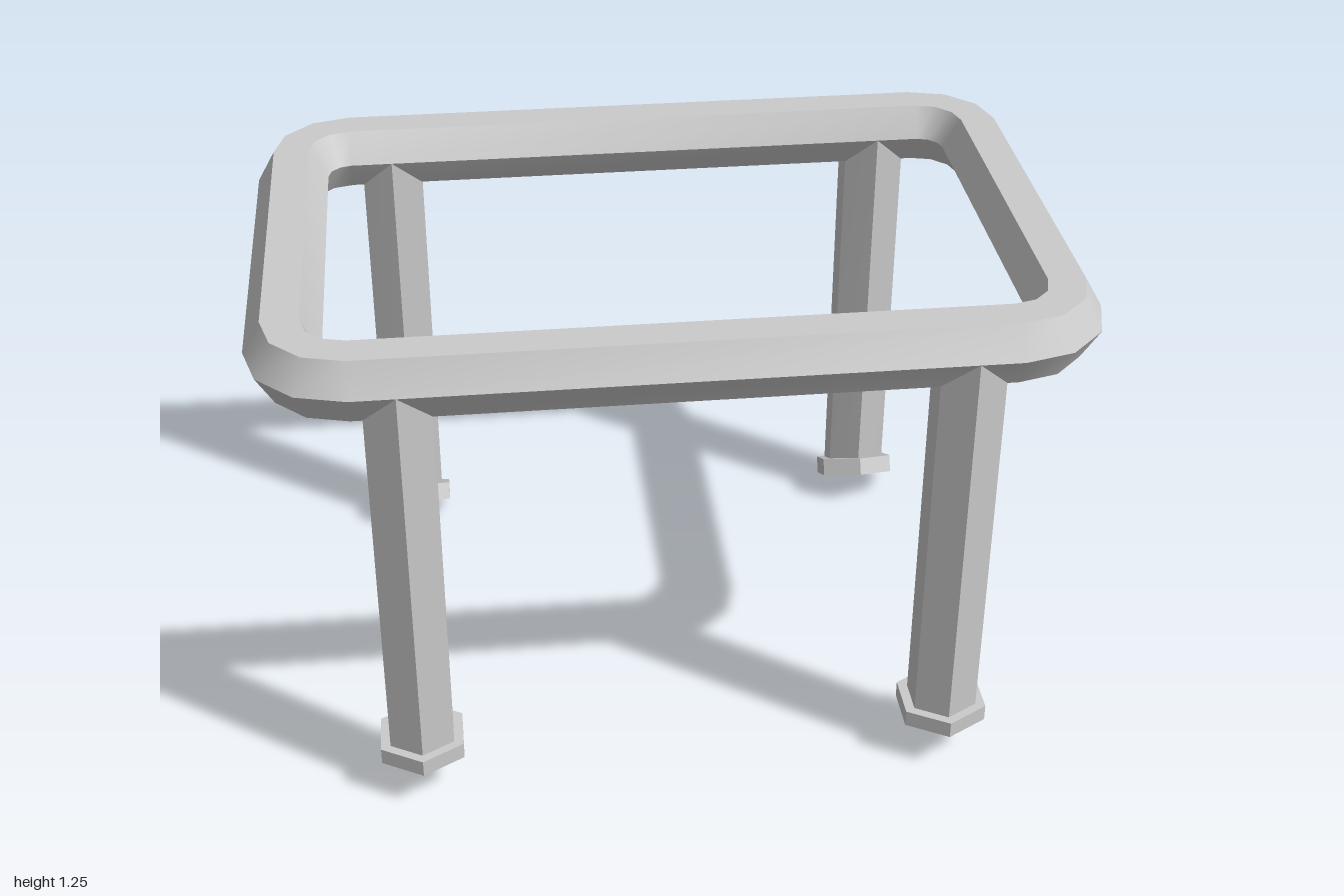
import * as THREE from 'three';
import { toCreasedNormals } from 'three/addons/utils/BufferGeometryUtils.js';

const RADIUS = 0.09; // of the six-sided section shared by rail and legs
const RAIL_Y = 1.175;
const TILT = -29 * Math.PI / 180;
const material = new THREE.MeshStandardMaterial({ color: 0xcccccc });

function addMesh(parent, name, geometry) {
  const mesh = new THREE.Mesh(toCreasedNormals(geometry, 0.7), material);
  mesh.name = name;
  parent.add(mesh);
  return mesh;
}

// Hexagonal section swept round a rectangle with rounded corners
function railGeometry(halfX, halfZ, corner) {
  const positions = [], index = [], steps = 3, sides = 6;
  for (let c = 0; c < 4; c++) {
    const sx = c === 0 || c === 3 ? 1 : -1, sz = c < 2 ? 1 : -1;
    for (let k = 0; k <= steps; k++) {
      const a = (c + k / steps) * Math.PI / 2;
      for (let j = 0; j < sides; j++) {
        const s = j / sides * Math.PI * 2;
        const r = corner + RADIUS * Math.cos(s);
        positions.push(
          sx * (halfX - corner) + r * Math.cos(a),
          RADIUS * Math.sin(s),
          sz * (halfZ - corner) + r * Math.sin(a));
      }
    }
  }
  const rings = 4 * (steps + 1);
  for (let i = 0; i < rings; i++) {
    for (let j = 0; j < sides; j++) {
      const i2 = (i + 1) % rings, j2 = (j + 1) % sides;
      const a = i * sides + j, b = i * sides + j2, c = i2 * sides + j2, d = i2 * sides + j;
      index.push(a, b, d, b, c, d);
    }
  }
  const geometry = new THREE.BufferGeometry();
  geometry.setAttribute('position', new THREE.Float32BufferAttribute(positions, 3));
  geometry.setIndex(index);
  return geometry;
}

// Hexagonal post from the rail down to an end ring that may be tilted
function legGeometry(topZ, endY, endZ, tilt) {
  const geometry = new THREE.CylinderGeometry(RADIUS, RADIUS, 2, 6);
  const p = geometry.attributes.position, v = new THREE.Vector3();
  const axis = new THREE.Vector3(1, 0, 0);
  for (let i = 0; i < p.count; i++) {
    v.fromBufferAttribute(p, i);
    const top = v.y > 0;
    v.y = 0;
    if (!top) v.applyAxisAngle(axis, tilt);
    v.y += top ? RAIL_Y : endY;
    v.z += top ? topZ : endZ;
    p.setXYZ(i, v.x, v.y, v.z);
  }
  return geometry;
}

export function createModel() {
  const group = new THREE.Group();
  group.name = 'tableFrame';

  // Top rail
  const rail = addMesh(group, 'topRail', railGeometry(0.91, 0.598, 0.15));
  rail.position.set(0, RAIL_Y, -0.008);

  // Upright front legs, and back legs whose feet tip
  for (const [side, x] of [['Left', 0.655], ['Right', -0.655]]) {
    const frontLeg = addMesh(group, 'front' + side + 'Leg', legGeometry(0.59, 0.13, 0.59, 0));
    frontLeg.position.x = x;
    const frontFoot = addMesh(group, 'front' + side + 'Foot', new THREE.CylinderGeometry(0.117, 0.117, 0.043, 6));
    frontFoot.position.set(x, 0.13, 0.588);

    const backLeg = addMesh(group, 'back' + side + 'Leg', legGeometry(-0.606, 0.095, -0.606, TILT));
    backLeg.position.x = x;
    const backFoot = addMesh(group, 'back' + side + 'Foot', new THREE.CylinderGeometry(0.115, 0.115, 0.048, 6));
    backFoot.position.set(x, 0.078, -0.591);
    backFoot.rotation.x = TILT;
  }
  return group;
}
